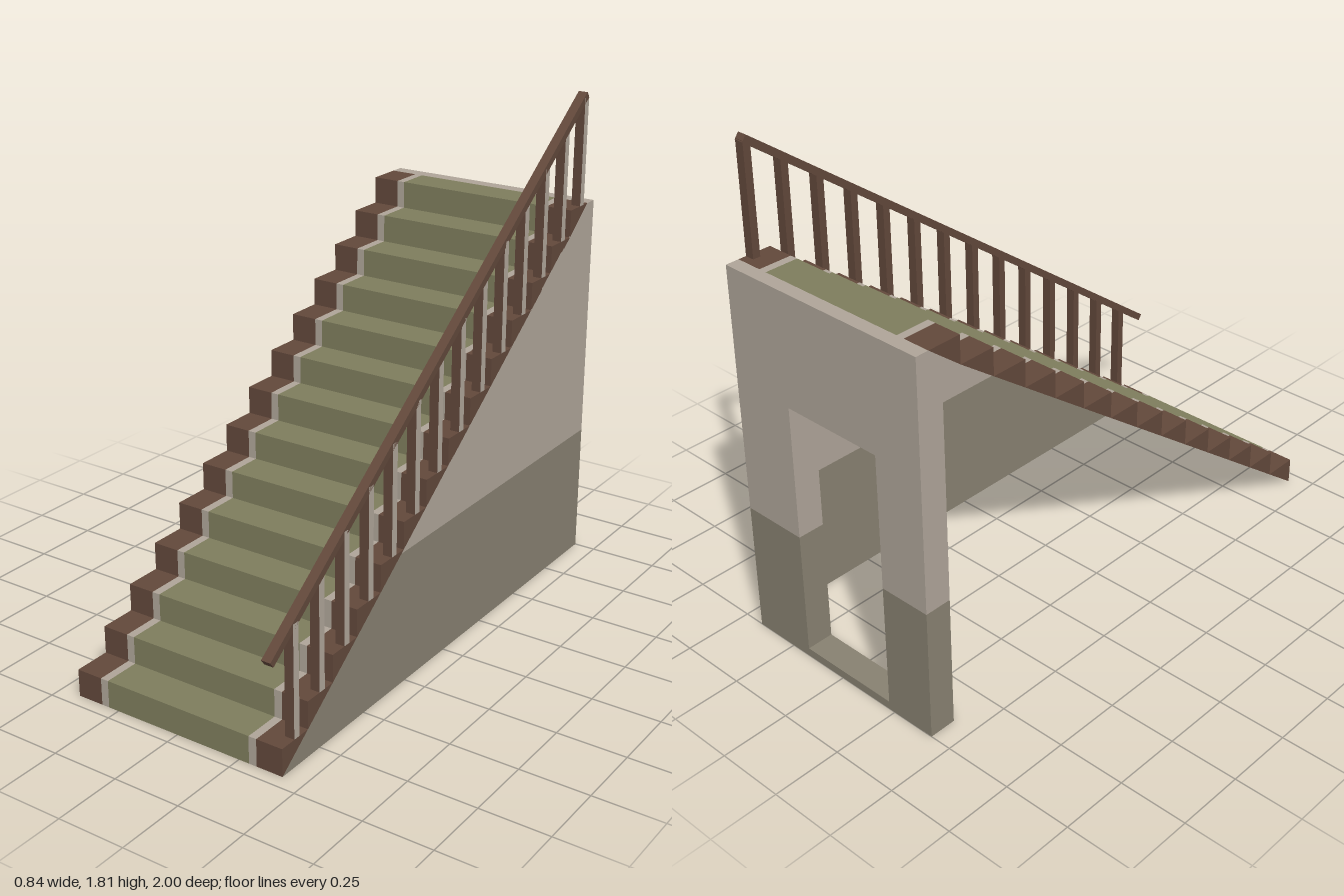
import * as THREE from 'three';

const STEPS = 14, RISE = 0.1, RUN = 0.1365, FRONT = 0.95, END = -0.95;
const HALF = 0.42, SPLIT = 0.49, TOP = STEPS * RISE;
const stepZ = (i) => Math.max(FRONT - i * RUN, END);

function material(name, color, side = THREE.FrontSide) {
  const m = new THREE.MeshStandardMaterial({ color, side });
  m.name = name;
  return m;
}

// Flat faces from lists of corners, each a convex polygon
function faces(polygons) {
  const pos = [];
  for (const p of polygons)
    for (let i = 1; i < p.length - 1; i++) pos.push(...p[0], ...p[i], ...p[i + 1]);
  const g = new THREE.BufferGeometry();
  g.setAttribute('position', new THREE.Float32BufferAttribute(pos, 3));
  g.computeVertexNormals();
  return g;
}

// Zigzag of risers and treads between two x positions
function stairStrip(x0, x1) {
  const polys = [];
  for (let i = 0; i < STEPS; i++) {
    const y0 = i * RISE, y1 = y0 + RISE, z0 = stepZ(i), z1 = stepZ(i + 1);
    polys.push([[x0, y0, z0], [x1, y0, z0], [x1, y1, z0], [x0, y1, z0]]);
    polys.push([[x0, y1, z0], [x1, y1, z0], [x1, y1, z1], [x0, y1, z1]]);
  }
  return faces(polys);
}

// Triangles that close the step ends
function stepEnds(x) {
  const polys = [];
  for (let i = 0; i < STEPS; i++) {
    const y0 = i * RISE, y1 = y0 + RISE, z0 = stepZ(i), z1 = stepZ(i + 1);
    const t = [[x, y0, z0], [x, y1, z1], [x, y1, z0]];
    polys.push(x > 0 ? t.reverse() : t);
    if (x > 0) t.reverse(), polys[i] = [t[0], t[2], t[1]].reverse();
  }
  return faces(polys);
}

function extrude(points, depth) {
  const shape = new THREE.Shape(points.map(([x, y]) => new THREE.Vector2(x, y)));
  return new THREE.ExtrudeGeometry(shape, { depth, bevelEnabled: false });
}

export function createModel() {
  const group = new THREE.Group();
  const wood = material('brown wood', 0x62483b, THREE.DoubleSide);
  const carpet = material('green carpet', 0x7e7d5d, THREE.DoubleSide);
  const plaster = material('beige plaster', 0xafa599, THREE.DoubleSide);
  const dado = material('grey lower wall', 0x888171, THREE.DoubleSide);

  const add = (name, geometry, mat, parent = group) => {
    const mesh = new THREE.Mesh(geometry, mat);
    mesh.name = name;
    parent.add(mesh);
    return mesh;
  };

  // Stairs: carpet runner, pale borders and wooden ends
  add('carpetRunner', stairStrip(-0.29, 0.29), carpet);
  for (const [side, s] of [['left', 1], ['right', -1]]) {
    const span = (a, b) => (s > 0 ? stairStrip(a, b) : stairStrip(-b, -a));
    add(side + 'CarpetBorder', span(0.29, 0.32), plaster);
    add(side + 'WoodenTreads', span(0.32, HALF), wood);
    add(side + 'StepEnds', stepEnds(s * HALF), wood);
  }

  // Thin side wall under the slope, in two bands
  const splitZ = FRONT - (SPLIT / RISE) * RUN;
  add('sideWallLower', faces([[
    [HALF, 0, FRONT], [HALF, 0, -1], [HALF, SPLIT, -1], [HALF, SPLIT, splitZ],
  ]]), dado);
  add('sideWallUpper', faces([[
    [HALF, SPLIT, splitZ], [HALF, SPLIT, -1], [HALF, TOP, -1], [HALF, TOP, END],
  ]]), plaster);

  // Back wall with a doorway, in two bands
  const doorL = -0.225, doorR = 0.17, doorBottom = 0.03, doorTop = 0.985, wallTop = 1.36;
  const lower = extrude([
    [-HALF, 0], [HALF, 0], [HALF, SPLIT], [doorR, SPLIT],
    [doorR, doorBottom], [doorL, doorBottom], [doorL, SPLIT], [-HALF, SPLIT],
  ], 0.1);
  const upper = extrude([
    [-HALF, SPLIT], [doorL, SPLIT], [doorL, doorTop], [doorR, doorTop],
    [doorR, SPLIT], [HALF, SPLIT], [HALF, wallTop], [-HALF, wallTop],
  ], 0.1);
  add('backWallLower', lower, dado).position.z = -1;
  add('backWallUpper', upper, plaster).position.z = -1;

  // Sloped cap that meets the underside of the top step
  const cap = extrude([[1, wallTop], [0.9, wallTop], [-END, TOP], [1, TOP]], 2 * HALF);
  const capMesh = add('backWallCap', cap, plaster);
  capMesh.rotation.y = Math.PI / 2;
  capMesh.position.x = -HALF;

  // Balusters, pale on the outer face
  const railY = (z) => 1.138 - 0.727 * z;
  const railing = new THREE.Group();
  railing.name = 'railing';
  group.add(railing);
  for (let i = 0; i < STEPS; i++) {
    const z = 0.872 - i * 0.1368, y0 = (i + 1) * RISE, h = railY(z) - y0;
    const post = add('baluster', new THREE.BoxGeometry(0.035, h, 0.028),
      [plaster, wood, wood, wood, wood, wood], railing);
    post.position.set(0.4025, y0 + h / 2, z);
  }

  // Sloping handrail
  const rail = add('handrail', new THREE.BoxGeometry(0.035, 0.026, 2.36), wood, railing);
  rail.rotation.x = Math.atan(0.727);
  rail.position.set(0.4025, railY(0.04), 0.04);

  return group;
}
